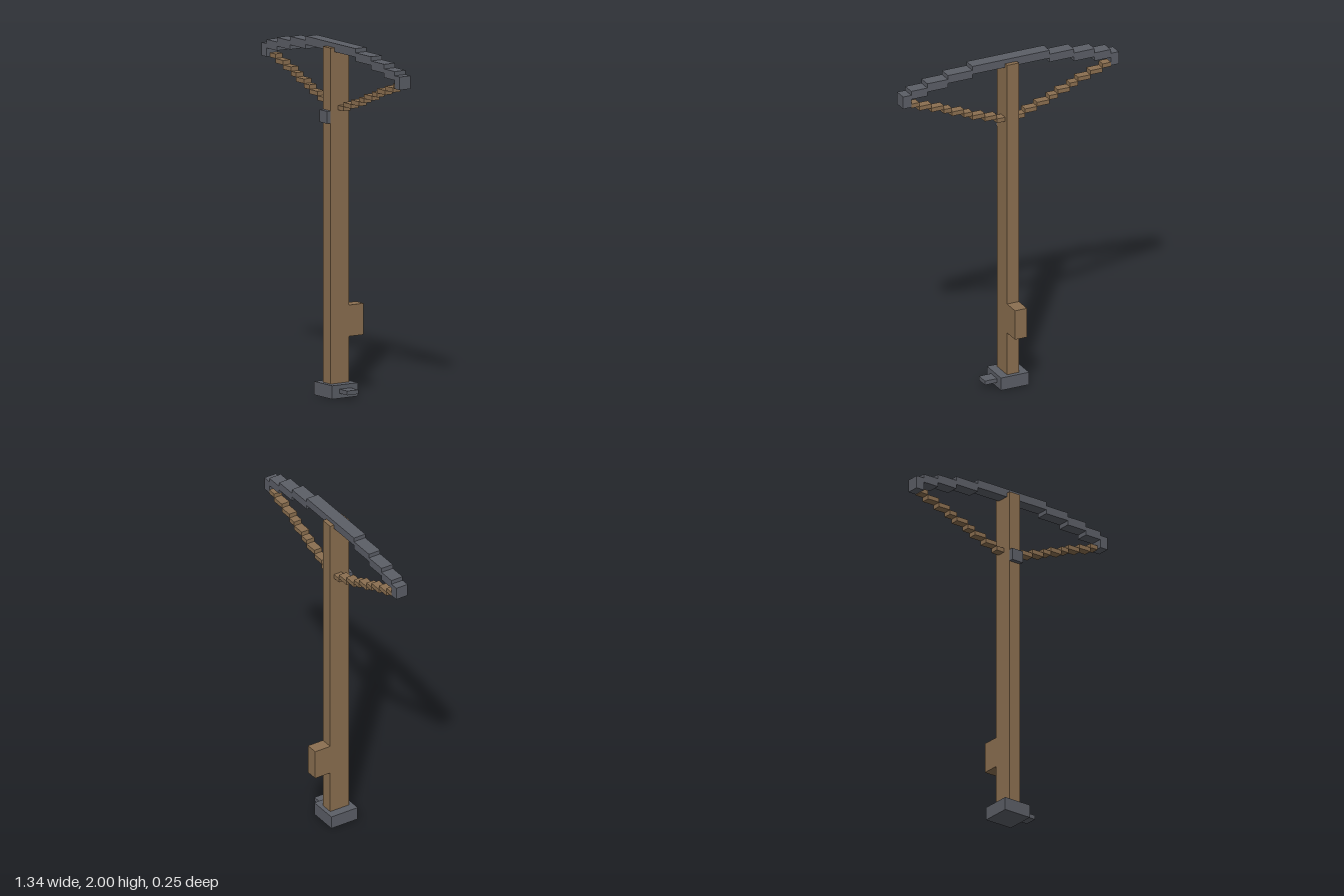
import * as THREE from 'three';

export function createModel() {
  const model = new THREE.Group();
  model.name = 'crossbow';

  const wood = new THREE.MeshStandardMaterial({ color: 0x8b6f50 });
  wood.name = 'wood';
  const metal = new THREE.MeshStandardMaterial({ color: 0x5b5e66 });
  metal.name = 'dark metal';

  // Box given by its lower and upper bounds on each axis
  function box(name, material, [x0, x1], [y0, y1], [z0, z1], parent = model) {
    const mesh = new THREE.Mesh(new THREE.BoxGeometry(x1 - x0, y1 - y0, z1 - z0), material);
    mesh.position.set((x0 + x1) / 2, (y0 + y1) / 2, (z0 + z1) / 2);
    mesh.name = name;
    parent.add(mesh);
  }

  // The same box on both sides of the stock
  function pair(name, material, [x0, x1], y, z, parent) {
    box(name + 'Left', material, [x0, x1], y, z, parent);
    box(name + 'Right', material, [-x1, -x0], y, z, parent);
  }

  // Stock with grip, butt plate, side lever and front block
  box('stock', wood, [-0.037, 0.037], [0.076, 1.975], [-0.025, 0.1]);
  box('grip', wood, [-0.037, 0.037], [0.333, 0.51], [-0.125, -0.025]);
  box('buttPlate', metal, [-0.087, 0.087], [0, 0.076], [-0.05, 0.125]);
  box('sideLever', metal, [0.087, 0.162], [0.028, 0.052], [0, 0.075]);
  box('frontBlock', metal, [-0.037, 0.037], [1.55, 1.62], [0.1, 0.125]);

  // Bow: centre bar and stepped limbs
  const bow = new THREE.Group();
  bow.name = 'bow';
  model.add(bow);
  const bowDepth = [0, 0.075];
  box('bowCentre', metal, [-0.24, 0.24], [1.952, 2], bowDepth, bow);
  const limbs = [
    [0.24, 0.392, 1.928, 1.976],
    [0.392, 0.52, 1.902, 1.952],
    [0.52, 0.62, 1.877, 1.926],
    [0.62, 0.67, 1.828, 1.902],
  ];
  limbs.forEach(([x0, x1, y0, y1], i) => pair('limb' + (i + 1), metal, [x0, x1], [y0, y1], bowDepth, bow));

  // Bowstring: stair of small bars rising to the limb tips
  const string = new THREE.Group();
  string.name = 'bowstring';
  model.add(string);
  const stops = [0.037, 0.088, 0.163, 0.24, 0.291, 0.367, 0.417, 0.493, 0.57, 0.62];
  const rise = 0.0252;
  for (let i = 0; i < stops.length - 1; i++) {
    const y = 1.621 + i * rise;
    pair('stringStep' + (i + 1), wood, [stops[i], stops[i + 1]], [y, y + rise], [0, 0.05], string);
  }

  return model;
}
